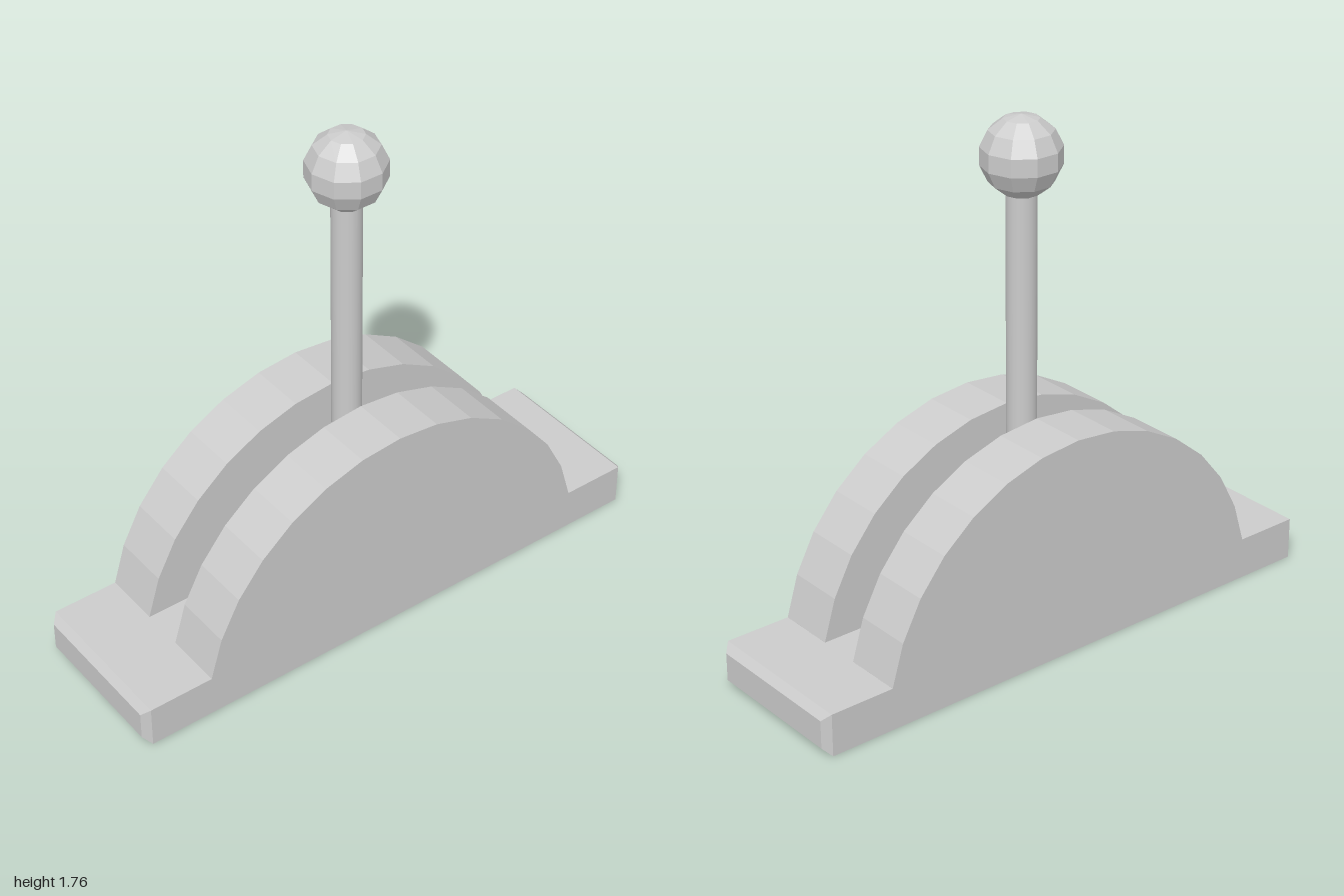
import * as THREE from 'three';

const BASE_H = 0.148, HALF_W = 0.28, SLOT = 0.075, BEVEL = 0.025;

export function createModel() {
  const model = new THREE.Group();
  const flat = new THREE.MeshStandardMaterial({ color: 0xcccccc, flatShading: true });
  const smooth = new THREE.MeshStandardMaterial({ color: 0xcccccc });

  const add = (name, geometry, material = flat) => {
    const mesh = new THREE.Mesh(geometry, material);
    mesh.name = name;
    model.add(mesh);
    return mesh;
  };

  // Half-ellipse arch above the base, extruded across x from x0 to x1
  const arch = (depth, height, x0, x1) => {
    const points = [];
    for (let i = 0; i <= 16; i++) {
      const a = (i / 16) * Math.PI;
      points.push(new THREE.Vector2(depth * Math.cos(a), height * Math.sin(a)));
    }
    // Cut the arch off at the top of the base
    const cut = points.slice(1, -1).filter((p) => p.y >= BASE_H - 0.001);
    const below = points.find((p, i) => points[i + 1].y >= BASE_H - 0.001);
    const first = cut[0];
    const t = (BASE_H - below.y) / (first.y - below.y);
    const foot = below.x + (first.x - below.x) * t;
    const outline = [new THREE.Vector2(foot, BASE_H), ...cut, new THREE.Vector2(-foot, BASE_H)];
    const g = new THREE.ExtrudeGeometry(new THREE.Shape(outline), { depth: x1 - x0, bevelEnabled: false });
    return g.rotateY(Math.PI / 2).translate(x0, 0, 0);
  };

  // Base plate with chamfered front and back ends
  const base = new THREE.BoxGeometry(HALF_W * 2, BASE_H, 2, 1, 1, 3);
  const pos = base.attributes.position;
  for (let i = 0; i < pos.count; i++) {
    const z = pos.getZ(i);
    if (Math.abs(z) > 0.9) {
      pos.setX(i, pos.getX(i) - Math.sign(pos.getX(i)) * BEVEL);
      pos.setY(i, pos.getY(i) - Math.sign(pos.getY(i)) * BEVEL);
    } else {
      pos.setZ(i, Math.sign(z) * (1 - BEVEL));
    }
  }
  add('basePlate', base.translate(0, BASE_H / 2, 0));

  // Two tall cheeks with a lower arch filling the slot between them
  add('leftCheek', arch(0.76, 0.76, SLOT, HALF_W));
  add('rightCheek', arch(0.76, 0.76, -HALF_W, -SLOT));
  add('slotFloor', arch(0.594, 0.47, -SLOT, SLOT));

  // Lever rod and faceted knob
  add('leverRod', new THREE.CylinderGeometry(0.05, 0.05, 1.15, 20).translate(0, 0.975, 0), smooth);
  add('leverKnob', new THREE.SphereGeometry(0.134, 10, 7).rotateY(Math.PI / 2).translate(0, 1.628, 0));

  return model;
}
